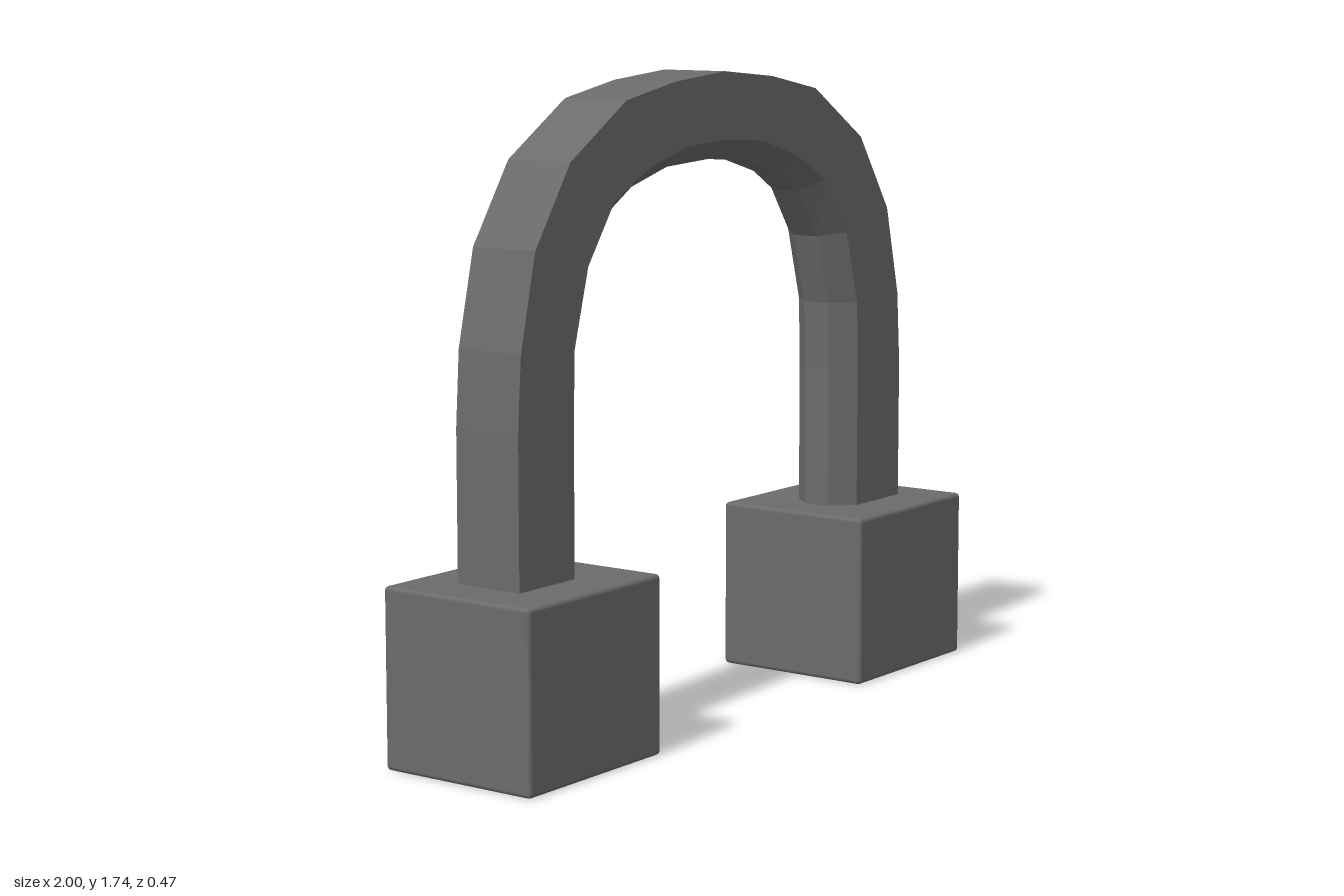
import * as THREE from 'three';
import { RoundedBoxGeometry } from 'three/addons/geometries/RoundedBoxGeometry.js';

// Half of the arch, foot to crown: outer edge, face edge and inner edge as [x, y]
const HALF = [
  [[0.87, 0.46], [0.65, 0.46], [0.59, 0.46]],
  [[0.87, 0.87], [0.65, 0.87], [0.59, 0.87]],
  [[0.857, 1.07], [0.645, 1.06], [0.583, 1.06]],
  [[0.798, 1.32], [0.588, 1.265], [0.53, 1.254]],
  [[0.658, 1.53], [0.48, 1.42], [0.428, 1.388]],
  [[0.428, 1.675], [0.337, 1.495], [0.33, 1.447]],
  [[0.22, 1.715], [0.178, 1.543], [0.178, 1.49]],
  [[0, 1.735], [0, 1.555], [0, 1.5]],
];
const HALF_DEPTH = 0.1, INNER_HALF_DEPTH = 0.04;

// Loft a six-sided section, chamfered along its inner edges, over the whole arch
function archGeometry() {
  const mirrored = HALF.slice(0, -1).reverse().map(s => s.map(([x, y]) => [-x, y]));
  const rings = [...HALF, ...mirrored].map(([o, m, i]) => [
    [...o, HALF_DEPTH], [...o, -HALF_DEPTH],
    [...m, -HALF_DEPTH], [...i, -INNER_HALF_DEPTH],
    [...i, INNER_HALF_DEPTH], [...m, HALF_DEPTH],
  ]);
  const positions = [];
  for (let r = 0; r < rings.length - 1; r++) {
    for (let j = 0; j < 6; j++) {
      const k = (j + 1) % 6;
      const a = rings[r][j], b = rings[r][k], c = rings[r + 1][k], d = rings[r + 1][j];
      positions.push(...a, ...b, ...c, ...a, ...c, ...d);
    }
  }
  const geometry = new THREE.BufferGeometry();
  geometry.setAttribute('position', new THREE.Float32BufferAttribute(positions, 3));
  geometry.computeVertexNormals();
  return geometry;
}

export function createModel() {
  const model = new THREE.Group();
  model.name = 'archOnBlocks';
  const grey = new THREE.MeshStandardMaterial({ color: 0x6b6b6b });
  grey.name = 'dark grey';

  const arch = new THREE.Mesh(archGeometry(), grey);
  arch.name = 'arch';
  model.add(arch);

  // Softly bevelled foot blocks
  const blockGeometry = new RoundedBoxGeometry(0.535, 0.475, 0.47, 2, 0.012);
  for (const [name, side] of [['leftBlock', 1], ['rightBlock', -1]]) {
    const block = new THREE.Mesh(blockGeometry, grey);
    block.name = name;
    block.position.set(side * 0.7325, 0.2375, 0);
    model.add(block);
  }
  return model;
}
